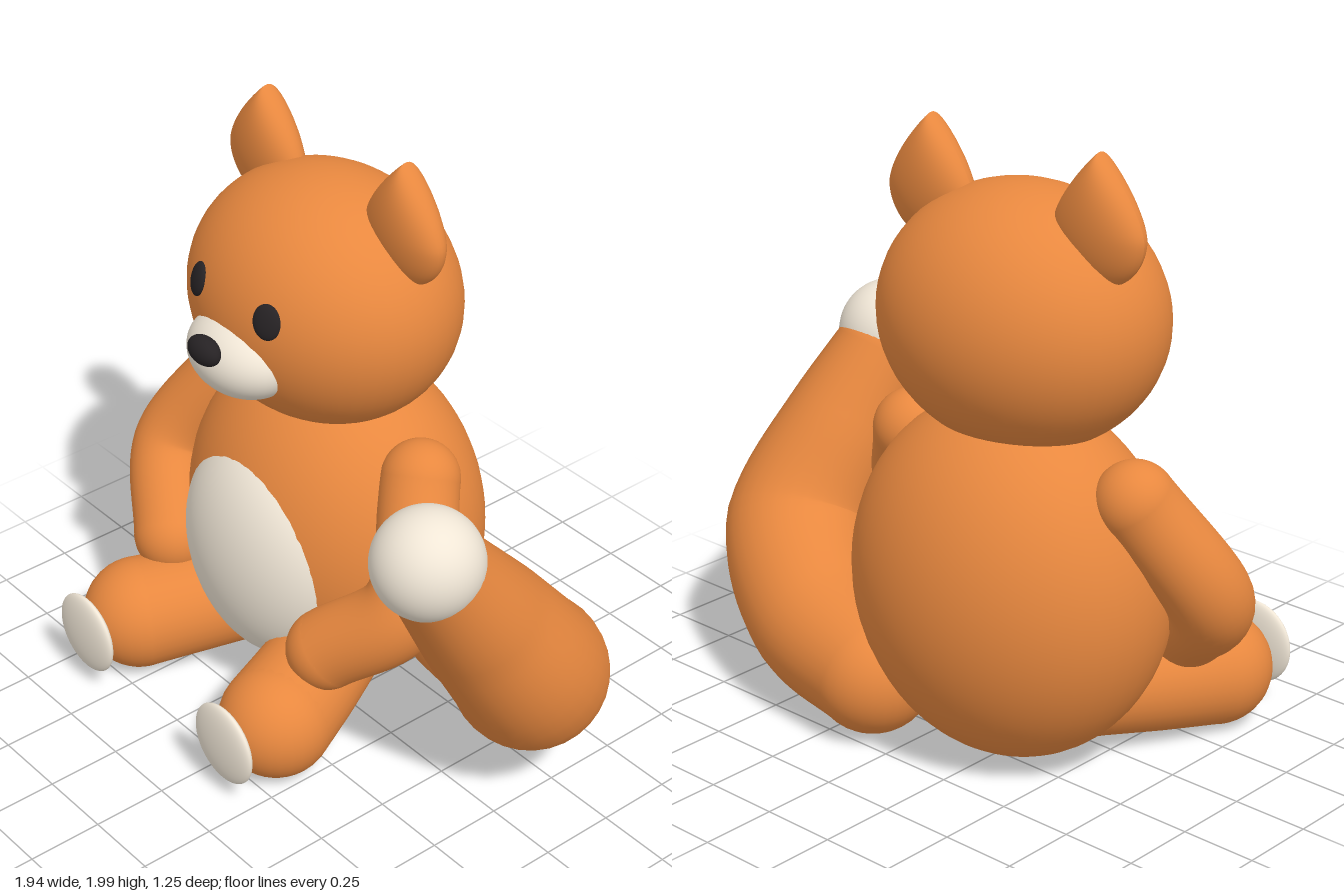
import * as THREE from 'three';
import { mergeGeometries } from 'three/addons/utils/BufferGeometryUtils.js';

const CX = -0.235; // symmetry plane of the body
const orange = new THREE.MeshStandardMaterial({ color: 0xe8883f });
const cream = new THREE.MeshStandardMaterial({ color: 0xf0e6d6 });
const black = new THREE.MeshStandardMaterial({ color: 0x262224 });

export function createModel() {
  const model = new THREE.Group();
  model.name = 'sittingPlushAnimal';

  const add = (name, geometry, material) => {
    const mesh = new THREE.Mesh(geometry, material);
    mesh.name = name;
    model.add(mesh);
    return mesh;
  };

  // Ellipsoid from centre and radii
  const ellipsoid = (name, material, center, radii) => {
    const mesh = add(name, new THREE.SphereGeometry(1, 48, 32), material);
    mesh.position.set(...center);
    mesh.scale.set(...radii);
    return mesh;
  };

  // Round limb: a tube whose radius varies along the path, with ball ends
  const limb = (name, points, radii) => {
    const curve = new THREE.CatmullRomCurve3(points.map((p) => new THREE.Vector3(...p)));
    const segs = 32, sides = 32;
    const tube = new THREE.TubeGeometry(curve, segs, 1, sides);
    const pos = tube.attributes.position;
    const v = new THREE.Vector3();
    for (let i = 0; i <= segs; i++) {
      const u = i / segs;
      const c = curve.getPointAt(u);
      const t = curve.getUtoTmapping(u) * (radii.length - 1);
      const k = Math.min(Math.floor(t), radii.length - 2);
      const r = THREE.MathUtils.lerp(radii[k], radii[k + 1], t - k);
      for (let j = 0; j <= sides; j++) {
        const n = i * (sides + 1) + j;
        v.fromBufferAttribute(pos, n).sub(c).multiplyScalar(r).add(c);
        pos.setXYZ(n, v.x, v.y, v.z);
      }
    }
    const last = radii.length - 1;
    const caps = [0, last].map((k) =>
      new THREE.SphereGeometry(radii[k], 32, 24).translate(...points[k]));
    return add(name, mergeGeometries([tube, ...caps]), orange);
  };

  // Ear: a flat ellipsoid whose width narrows to a point at the top
  const earGeometry = () => {
    const geo = new THREE.SphereGeometry(1, 40, 40);
    const pos = geo.attributes.position;
    for (let i = 0; i < pos.count; i++) {
      const x = pos.getX(i), y = pos.getY(i), z = pos.getZ(i);
      const ring = Math.hypot(x, z);
      const width = y > -0.2
        ? 1 - Math.pow((y + 0.2) / 1.2, 1.5)
        : Math.sqrt(Math.max(0, 1 - ((y + 0.2) / 0.8) ** 2));
      pos.setXYZ(i, ring > 1e-5 ? (x / ring) * width * 0.167 : 0, y * 0.2, z * 0.078);
    }
    geo.computeVertexNormals();
    return geo;
  };

  // Torso and head
  ellipsoid('body', orange, [CX, 0.595, -0.17], [0.54, 0.585, 0.45]);
  ellipsoid('belly', cream, [CX, 0.556, 0.1], [0.355, 0.4, 0.23]);
  ellipsoid('head', orange, [CX, 1.43, -0.125], [0.475, 0.41, 0.405]);
  ellipsoid('muzzle', cream, [CX, 1.335, 0.2], [0.202, 0.137, 0.16]);
  ellipsoid('nose', black, [CX, 1.395, 0.35], [0.068, 0.047, 0.04]);

  // Paired parts, mirrored about the symmetry plane
  for (const [side, s] of [['left', 1], ['right', -1]]) {
    const at = (dx, y, z) => [CX + s * dx, y, z];

    const eye = ellipsoid(side + 'Eye', black, at(0.168, 1.53, 0.238), [0.048, 0.057, 0.02]);
    eye.rotation.set(-0.26, s * 0.38, s * 0.12, 'YXZ');

    add(side + 'Ear', earGeometry(), orange).position.set(...at(0.33, 1.8, -0.167));

    limb(side + 'Arm',
      [at(0.455, 0.95, -0.135), at(0.598, 0.62, 0.05), at(0.405, 0.415, 0.205)],
      [0.127, 0.136, 0.132]);

    limb(side + 'Leg',
      [at(0.2, 0.225, 0), at(0.29, 0.21, 0.2), at(0.368, 0.197, 0.385)],
      [0.17, 0.18, 0.187]);

    ellipsoid(side + 'FootPad', cream, at(0.37, 0.212, 0.597), [0.14, 0.14, 0.032]);
  }

  // Tail sweeping out to the left side and up, with a round tip
  limb('tail',
    [[0.15, 0.215, -0.4], [0.45, 0.29, -0.34], [0.715, 0.48, -0.16],
      [0.71, 0.78, 0.05], [0.685, 1.0, 0.2]],
    [0.2, 0.23, 0.252, 0.21, 0.165]);
  ellipsoid('tailTip', cream, [0.685, 1.065, 0.245], [0.175, 0.175, 0.175]);

  return model;
}
